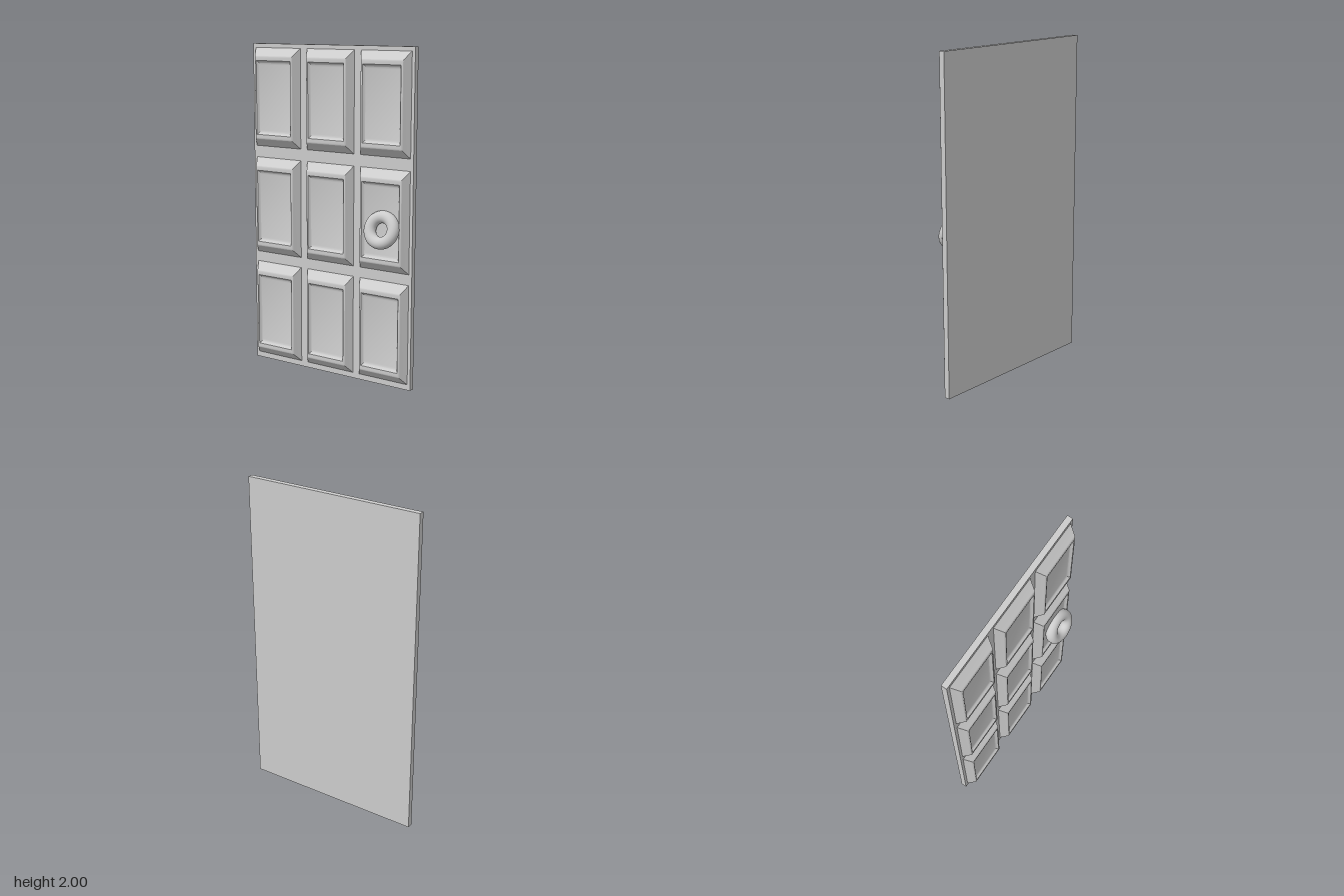
import * as THREE from 'three';
import { toCreasedNormals } from 'three/addons/utils/BufferGeometryUtils.js';

const material = new THREE.MeshStandardMaterial({ color: 0xcccccc });

// Raised panel: nested rectangles [x inset, y inset, z] from base to recessed floor
function panelGeometry(halfW, halfH) {
  const rings = [
    [0, 0, -0.046], [0.026, 0.045, -0.002], [0.029, 0.05, 0.004], [0.034, 0.058, 0.007],
    [0.041, 0.077, 0.006], [0.047, 0.084, -0.003], [0.053, 0.092, -0.009], [0.06, 0.103, -0.012],
  ];
  const corners = [[-1, -1], [1, -1], [1, 1], [-1, 1]];
  const positions = [];
  const index = [];
  for (const [dx, dy, z] of rings)
    for (const [sx, sy] of corners) positions.push(sx * (halfW - dx), sy * (halfH - dy), z);
  for (let r = 0; r < rings.length - 1; r++) {
    for (let c = 0; c < 4; c++) {
      const a = r * 4 + c, b = r * 4 + (c + 1) % 4;
      index.push(a, b, b + 4, a, b + 4, a + 4);
    }
  }
  const f = (rings.length - 1) * 4;
  index.push(f, f + 1, f + 2, f, f + 2, f + 3);
  const geometry = new THREE.BufferGeometry();
  geometry.setAttribute('position', new THREE.Float32BufferAttribute(positions, 3));
  geometry.setIndex(index);
  return toCreasedNormals(geometry, 0.65);
}

export function createModel() {
  const door = new THREE.Group();
  door.name = 'door';

  function add(name, geometry, x, y, z) {
    const mesh = new THREE.Mesh(geometry, material);
    mesh.name = name;
    mesh.position.set(x, y, z);
    door.add(mesh);
    return mesh;
  }

  // Flat backing slab
  add('slab', new THREE.BoxGeometry(1.14, 2, 0.035), 0, 1, -0.0625);

  // Three by three grid of panels
  const panel = panelGeometry(0.168, 0.302);
  for (const y of [0.335, 1.001, 1.674])
    for (const x of [-0.382, 0.002, 0.383]) add('panel', panel, x, y, 0);

  // Tilted ring handle, lower edge leaning outward
  const ring = add('ringHandle', new THREE.TorusGeometry(0.077, 0.036, 24, 48), 0.403, 0.958, 0.021);
  ring.rotation.x = -0.31;

  return door;
}
